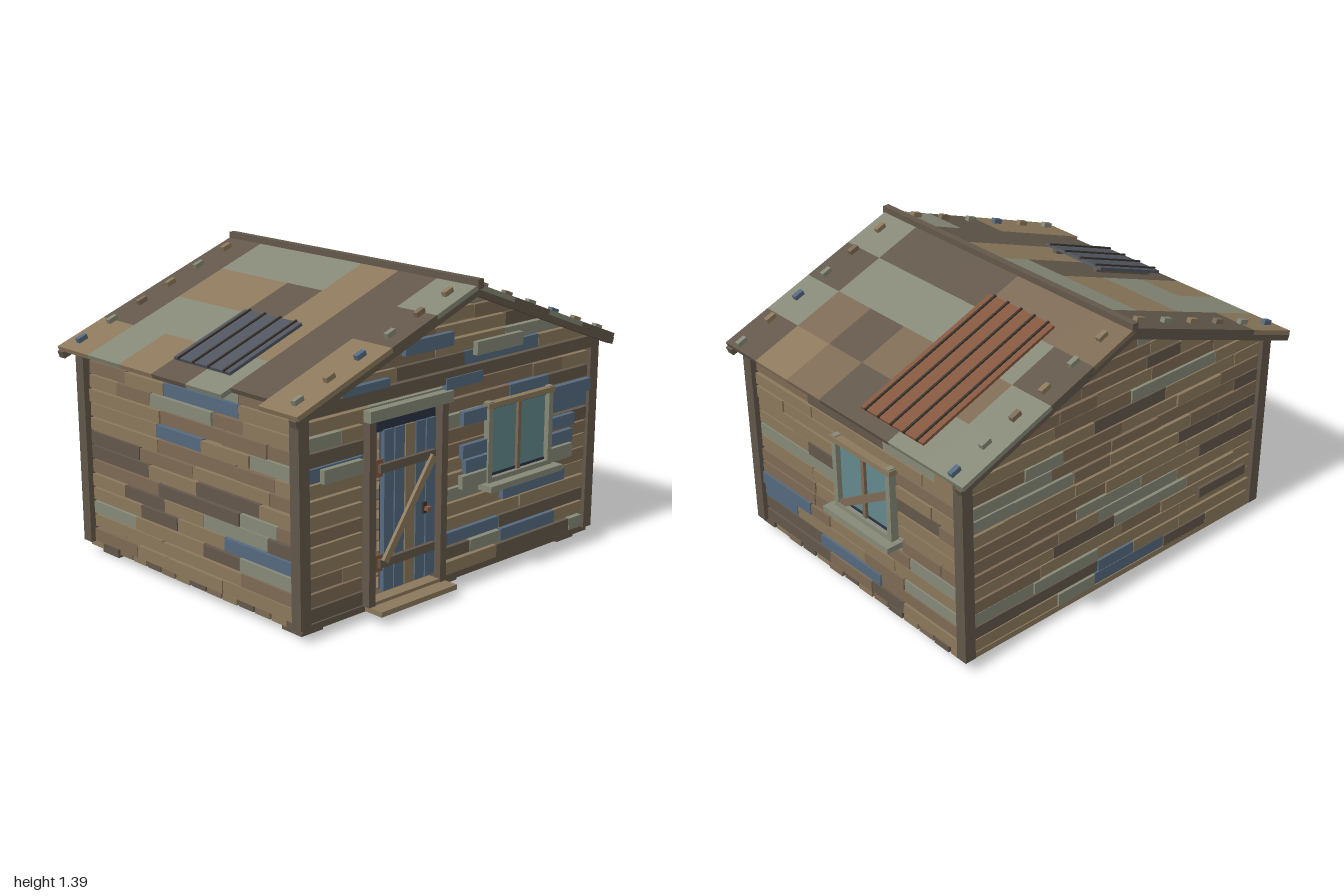
import * as THREE from 'three';

const mats = {};
for (const [key, color] of Object.entries({
  T: 0x8b785c, D: 0x62574a, G: 0x868877, M: 0x7d6a55, B: 0x55697f,
  R: 0x84563f, S: 0x50555f, N: 0x2a3342, W: 0x62888c, K: 0x3a332c,
})) mats[key] = new THREE.MeshStandardMaterial({ color, flatShading: true });

let seed = 11;
const rnd = () => (seed = (seed * 16807) % 2147483647) / 2147483647;
const woodTone = () => 'TTTTTTTTMMMMMGGGDDDB'[Math.floor(rnd() * 20)];

// Box given by its extents on each axis
function box(parent, name, key, x0, x1, y0, y1, z0, z1) {
  const m = new THREE.Mesh(new THREE.BoxGeometry(x1 - x0, y1 - y0, z1 - z0), mats[key]);
  m.position.set((x0 + x1) / 2, (y0 + y1) / 2, (z0 + z1) / 2);
  m.name = name;
  parent.add(m);
  return m;
}

// Slanted board between two points in the local xy plane
function brace(parent, name, key, ax, ay, bx, by, width, z0, z1) {
  const len = Math.hypot(bx - ax, by - ay);
  const m = box(parent, name, key, -len / 2, len / 2, -width / 2, width / 2, z0, z1);
  m.position.set((ax + bx) / 2, (ay + by) / 2, (z0 + z1) / 2);
  m.rotation.z = Math.atan2(by - ay, bx - ax);
  return m;
}

function group(parent, name) {
  const g = new THREE.Group();
  g.name = name;
  parent.add(g);
  return g;
}

const RIDGE = { x: 0.04, y: 1.365 };
const underRoof = (y) => Math.max(0, (1.345 - y) / 0.378);

// Rows of staggered boards; boards above the eaves are cut to the roof slope
function plankWall(parent, u0, u1, yTop, z, holes) {
  const pitch = 0.0668;
  for (let y = 0.065; y < yTop - 0.02; y += pitch) {
    const mid = y + pitch / 2;
    const gable = y > 0.98;
    const reach = gable ? underRoof(y) : 9;
    const lo = Math.max(u0, RIDGE.x - reach), hi = Math.min(u1, RIDGE.x + reach);
    const cuts = holes.filter((h) => mid > h[2] && mid < h[3]).sort((a, b) => a[0] - b[0]);
    const spans = [];
    let start = lo;
    for (const h of cuts) { spans.push([start, h[0]]); start = h[1]; }
    spans.push([start, hi]);
    for (const [s, e] of spans) {
      let u = s;
      while (u < e - 0.01) {
        let v = u + 0.2 + rnd() * 0.35;
        if (v > e - 0.12) v = e;
        const b = y + rnd() * 0.004, t = y + pitch - 0.004 - rnd() * 0.006;
        const top = gable ? underRoof(t) : 9;
        const clip = (a) => Math.min(Math.max(a, RIDGE.x - top), RIDGE.x + top);
        const shape = new THREE.Shape([[u, b], [v - 0.003, b], [clip(v - 0.003), t], [clip(u), t]]
          .map((p) => new THREE.Vector2(...p)));
        const depth = 0.026 + rnd() * 0.008;
        const m = new THREE.Mesh(
          new THREE.ExtrudeGeometry(shape, { depth, bevelEnabled: false }), mats[woodTone()]);
        m.position.z = z;
        m.name = 'wallBoard';
        parent.add(m);
        u = v;
      }
    }
  }
}

// Window lying in the local xy plane and facing +z
function windowUnit(parent, x0, x1, y0, y1, z) {
  const w = group(parent, 'window');
  box(w, 'glass', 'W', x0, x1, y0, y1, z - 0.015, z);
  for (const y of [y0, y1 - 0.012]) box(w, 'innerRail', 'N', x0, x1, y, y + 0.012, z, z + 0.004);
  box(w, 'mullion', 'M', (x0 + x1) / 2 - 0.01, (x0 + x1) / 2 + 0.01, y0, y1, z - 0.02, z + 0.015);
  for (const x of [x0 - 0.028, x1]) box(w, 'sideTrim', 'G', x, x + 0.028, y0 - 0.015, y1 + 0.03, z - 0.03, z + 0.025);
  box(w, 'topTrim', 'T', x0 - 0.035, x1 + 0.035, y1, y1 + 0.025, z - 0.03, z + 0.03);
  box(w, 'bottomTrim', 'G', x0 - 0.028, x1 + 0.028, y0 - 0.022, y0, z - 0.03, z + 0.025);
  box(w, 'windowSill', 'G', x0 - 0.055, x1 + 0.055, y0 - 0.05, y0 - 0.022, z - 0.02, z + 0.07);
}

function floor(root) {
  const g = group(root, 'floor');
  const n = 14, step = 1.48 / n;
  for (let i = 0; i < n; i++) {
    const z = -0.74 + i * step;
    box(g, 'floorBoard', 'TDM'[i % 3], -0.92 + rnd() * 0.01, 0.91 - rnd() * 0.01, 0.037, 0.065, z, z + step - 0.012);
  }
  for (const z of [-0.64, 0.62]) for (const x of [-0.825, -0.01, 0.81]) {
    box(g, 'footBlock', 'D', x - 0.06, x + 0.06, 0, 0.037, z - 0.06, z + 0.06);
  }
  for (const x of [-0.825, -0.01, 0.81]) box(g, 'joistBlock', 'D', x - 0.04, x + 0.04, 0.02, 0.037, -0.035, 0.015);
  box(g, 'doorStep', 'T', -0.57, -0.11, 0.04, 0.063, 0.73, 0.83);
}

function frontWall(root) {
  const g = group(root, 'frontWall');
  plankWall(g, -0.91, 0.9, 1.34, 0.695, [[-0.57, -0.12, 0, 0.88], [0.17, 0.58, 0.46, 0.79]]);
  box(g, 'tieBeam', 'D', -0.9, 0.89, 0.945, 1.0, 0.7, 0.745);
  for (const [key, x0, x1, y0, y1] of [
    ['B', -0.11, 0.12, 0.92, 0.97], ['B', 0.27, 0.7, 0.345, 0.4], ['B', -0.36, -0.07, 1.11, 1.17],
    ['B', -0.72, -0.45, 1.0, 1.035], ['G', 0.08, 0.38, 1.04, 1.1], ['G', -0.82, -0.6, 0.66, 0.72],
    ['B', 0.0, 0.15, 0.74, 0.8], ['B', 0.0, 0.155, 0.59, 0.65], ['B', 0.02, 0.155, 0.52, 0.58],
    ['G', 0.0, 0.155, 0.45, 0.51], ['B', 0.6, 0.87, 0.74, 0.8], ['B', 0.6, 0.76, 0.6, 0.655],
    ['B', 0.6, 0.75, 0.52, 0.58], ['G', 0.6, 0.75, 0.445, 0.51],
  ]) box(g, 'patchBoard', key, x0, x1, y0, y1, 0.725, 0.752);
  windowUnit(g, 0.19, 0.57, 0.465, 0.785, 0.73);

  // Door with its frame
  const d = group(g, 'door');
  for (const x of [-0.58, -0.148]) box(d, 'doorPost', 'D', x, x + 0.037, 0.065, 0.87, 0.7, 0.765);
  box(d, 'doorLintel', 'G', -0.58, -0.085, 0.87, 0.92, 0.7, 0.77);
  box(d, 'doorSill', 'T', -0.57, -0.11, 0.065, 0.08, 0.7, 0.76);
  box(d, 'doorHeadGap', 'N', -0.53, -0.155, 0.81, 0.862, 0.715, 0.73);
  box(d, 'doorEdgeBoard', 'T', -0.54, -0.475, 0.105, 0.81, 0.69, 0.7);
  ['B', 'B', 'T', 'B', 'B'].forEach((key, i) => {
    const x = -0.47 + i * 0.063;
    box(d, 'doorBoard', key, x, x + 0.056, 0.105, 0.815, 0.715, 0.74);
  });
  box(d, 'doorBacking', 'N', -0.465, -0.165, 0.11, 0.81, 0.705, 0.715);
  for (const y of [0.222, 0.64]) {
    box(d, 'crossBar', 'D', -0.51, -0.18, y, y + 0.037, 0.74, 0.76);
    box(d, 'hinge', 'R', -0.535, -0.48, y - 0.02, y + 0.055, 0.735, 0.743);
  }
  brace(d, 'doorBrace', 'T', -0.49, 0.25, -0.2, 0.655, 0.032, 0.758, 0.774);
  box(d, 'latchPlate', 'K', -0.245, -0.222, 0.4, 0.45, 0.74, 0.752);
  box(d, 'doorHandle', 'R', -0.24, -0.215, 0.415, 0.432, 0.752, 0.775);
}

function otherWalls(root) {
  const back = group(root, 'backWall');
  back.rotation.y = Math.PI;
  back.position.x = 2 * RIDGE.x;
  plankWall(back, -0.82, 0.99, 1.34, 0.71, []);
  box(back, 'patchBoard', 'D', 0.6, 0.92, 0.25, 0.3, 0.735, 0.76);

  // Local x runs along -z on the wall facing +x
  const side = group(root, 'leftWall');
  side.rotation.y = Math.PI / 2;
  plankWall(side, -0.7, 0.72, 0.99, 0.875, [[-0.07, 0.29, 0.47, 0.78]]);
  box(side, 'patchBoard', 'B', -0.69, -0.32, 0.27, 0.33, 0.9, 0.914);
  windowUnit(side, -0.06, 0.28, 0.475, 0.785, 0.915);
  brace(side, 'windowBrace', 'M', -0.05, 0.475, 0.28, 0.675, 0.035, 0.92, 0.937);

  const other = group(root, 'rightWall');
  other.rotation.y = -Math.PI / 2;
  plankWall(other, -0.72, 0.7, 0.99, 0.89, []);

  // Corner posts
  for (const x of [-0.92, 0.9]) for (const z of [-0.735, 0.715]) {
    const post = box(root, 'cornerPost', 'D', x - 0.028, x + 0.028, 0.06, 1.0, z - 0.028, z + 0.028);
    post.rotation.z = x < 0 ? 0.008 : -0.008;
  }
}

// One roof slope, built flat with local x running outward from the ridge
function roofSlope(root, sign, run, drop, tones, sheet) {
  const g = group(root, sign > 0 ? 'leftRoof' : 'rightRoof');
  g.position.set(RIDGE.x, RIDGE.y, 0);
  g.rotation.z = -sign * Math.atan2(drop, run);
  const len = Math.hypot(run, drop), k = len / run;
  const slab = (name, key, a, b, y0, y1, z0, z1) =>
    box(g, name, key, Math.min(sign * a, sign * b), Math.max(sign * a, sign * b), y0, y1, z0, z1);

  // Patchwork of panels
  tones.forEach((row, r) => {
    const z = -0.83 + r * 0.2314;
    [...row].forEach((key, c) => {
      const short = sign < 0 && r === 5 && c === 3 ? 0.055 : 0;
      slab('roofPanel', key, (c * len) / 4, ((c + 1) * len) / 4 - short, -0.022, 0, z, z + 0.2314);
    });
  });
  // Fascia boards and pegs along both gable edges
  for (const z of [-0.825, 0.745]) slab('fascia', 'D', 0, len + 0.012, -0.05, -0.018, z, z + 0.04);
  for (const z of [-0.745, 0.71]) for (let i = 0; i < 6; i++) {
    const s = (0.08 + i * 0.161) * k * (sign > 0 ? 1 : 1.06);
    slab('roofPeg', 'TGTMGB'[(i + (z > 0 ? 2 : 0)) % 6], s, s + 0.05, 0, 0.022, z - 0.012, z + 0.012);
  }
  // Ribbed metal sheet
  const [key, a, b, z0, z1, ribs] = sheet;
  slab('metalSheet', key, a * k, b * k, 0.02, 0.034, z0, z1);
  for (let i = 0; i < ribs; i++) {
    const z = z0 + 0.035 + (i * (z1 - z0 - 0.07)) / (ribs - 1);
    slab('sheetRib', 'K', a * k - 0.004, b * k + 0.004, 0.03, 0.041, z - 0.005, z + 0.005);
  }
  for (const z of [z0 + 0.05, z1 - 0.05]) slab('sheetBatten', 'D', a * k + 0.02, b * k - 0.02, 0, 0.02, z - 0.012, z + 0.012);
}

export function createModel() {
  seed = 11;
  const root = new THREE.Group();
  root.name = 'patchworkCabin';
  floor(root);
  frontWall(root);
  otherWalls(root);
  // Panel tones per row from back to front, ridge to eave
  roofSlope(root, 1, 0.945, 0.365,
    ['MDGG', 'MGMG', 'MGMD', 'DGMD', 'DGDM', 'DGMT', 'GDGD'], ['R', 0.17, 0.89, -0.54, -0.14, 5]);
  roofSlope(root, -1, 1.04, 0.38,
    ['DDDT', 'GTGG', 'GTGT', 'GDDD', 'TTTG', 'DDDD', 'GDTT'], ['S', 0.54, 0.94, -0.09, 0.28, 4]);
  box(root, 'ridgeBeam', 'D', 0.022, 0.055, 1.345, 1.388, -0.83, 0.8);
  return root;
}
